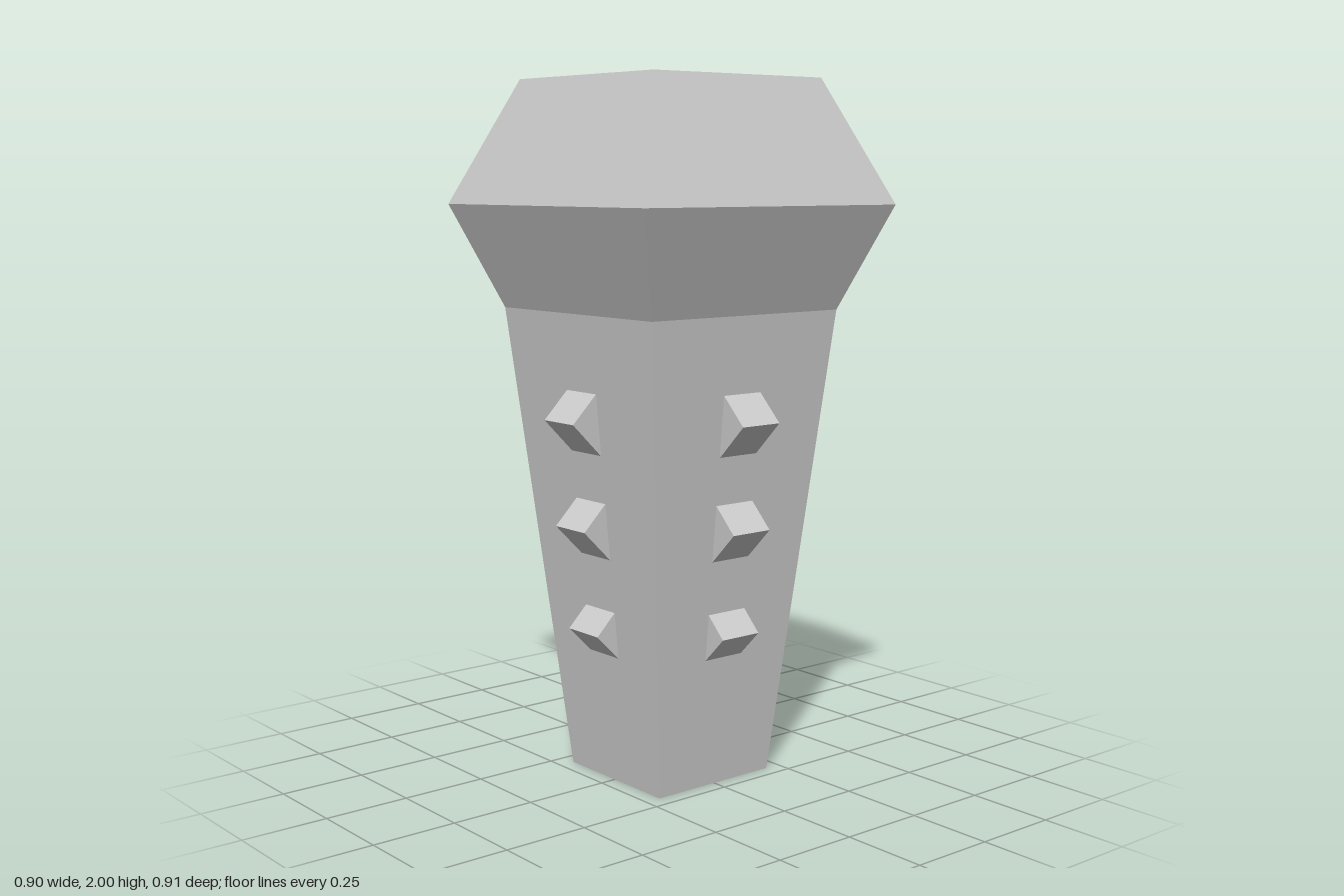
import * as THREE from 'three';

export function createModel() {
  const group = new THREE.Group();
  const material = new THREE.MeshStandardMaterial({ color: 0xcccccc, flatShading: true });
  const add = (parent, geometry, name) => {
    const mesh = new THREE.Mesh(geometry, material);
    mesh.name = name;
    parent.add(mesh);
    return mesh;
  };

  // Square tapering handle and flared head: [half width, height]
  const profile = [[0, 0], [0.203, 0], [0.336, 1.355], [0.45, 1.65], [0.3, 2], [0, 2]]
    .map(([h, y]) => new THREE.Vector2(h * Math.SQRT2, y));
  const body = add(group, new THREE.LatheGeometry(profile, 4, Math.PI / 4), 'body');
  body.position.z = 0.002;

  // Studs: small cubes turned on edge, three down each side
  const size = 0.133;
  const rows = [[1.06, 0.299], [0.757, 0.263], [0.455, 0.22]]; // height, distance from axis
  for (let side = 0; side < 4; side++) {
    const row = new THREE.Group();
    row.name = 'studRow';
    row.rotation.y = side * Math.PI / 2;
    row.position.z = 0.002;
    for (const [y, z] of rows) {
      const stud = add(row, new THREE.BoxGeometry(size, size, size), 'stud');
      stud.position.set(0, y, z);
      stud.rotation.x = Math.PI / 4;
    }
    group.add(row);
  }

  // Octagonal hollow ring sunk into the back of the head
  const octagon = (r) => Array.from({ length: 8 }, (_, i) =>
    new THREE.Vector2(r * Math.cos(i * Math.PI / 4), r * Math.sin(i * Math.PI / 4)));
  const shape = new THREE.Shape(octagon(0.148));
  shape.holes.push(new THREE.Path(octagon(0.104).reverse()));
  const ring = add(group, new THREE.ExtrudeGeometry(shape, { depth: 0.16, bevelEnabled: false }), 'backRing');
  ring.position.set(0, 1.825, -0.455);

  return group;
}
